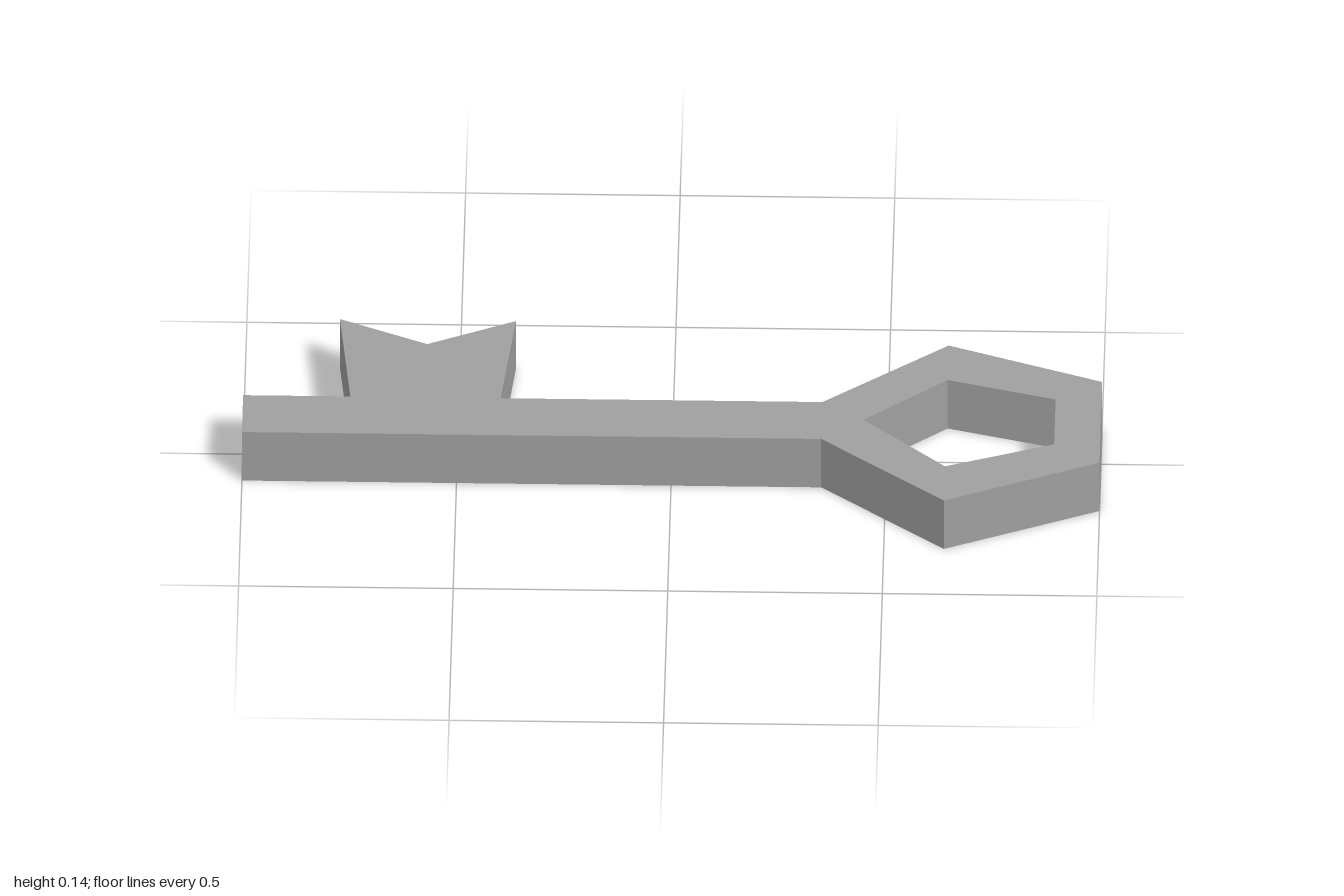
import * as THREE from 'three';

const THICKNESS = 0.143;

// Points are [x, z] in plan; the plate is extruded upward from y = 0.
const toPoints = (plan) => plan.map(([x, z]) => new THREE.Vector2(x, -z));

function plate(name, material, outline, hole) {
  const shape = new THREE.Shape(toPoints(outline));
  if (hole) shape.holes.push(new THREE.Path(toPoints(hole)));
  const geometry = new THREE.ExtrudeGeometry(shape, { depth: THICKNESS, bevelEnabled: false });
  geometry.rotateX(-Math.PI / 2);
  const mesh = new THREE.Mesh(geometry, material);
  mesh.name = name;
  return mesh;
}

export function createModel() {
  const key = new THREE.Group();
  key.name = 'key';
  const metal = new THREE.MeshStandardMaterial({ color: 0xa0a0a0 });
  metal.name = 'grey metal';

  // Long straight bar
  key.add(plate('shaft', metal, [[-1, 0.1], [0.35, 0.1], [0.35, -0.04], [-1, -0.04]]));

  // Notched, flared tooth on the back edge of the shaft
  key.add(plate('bit', metal, [
    [-0.75, -0.04], [-0.4, -0.04], [-0.37, -0.333], [-0.575, -0.242], [-0.78, -0.333],
  ]));

  // Angular handle ring with a five-sided opening
  key.add(plate('bow', metal,
    [[0.35, 0.1], [0.64, 0.328], [1, 0.177], [1, -0.129], [0.64, -0.26], [0.35, -0.04]],
    [[0.447, 0.025], [0.64, -0.129], [0.893, -0.06], [0.893, 0.11], [0.64, 0.198]]));

  return key;
}
